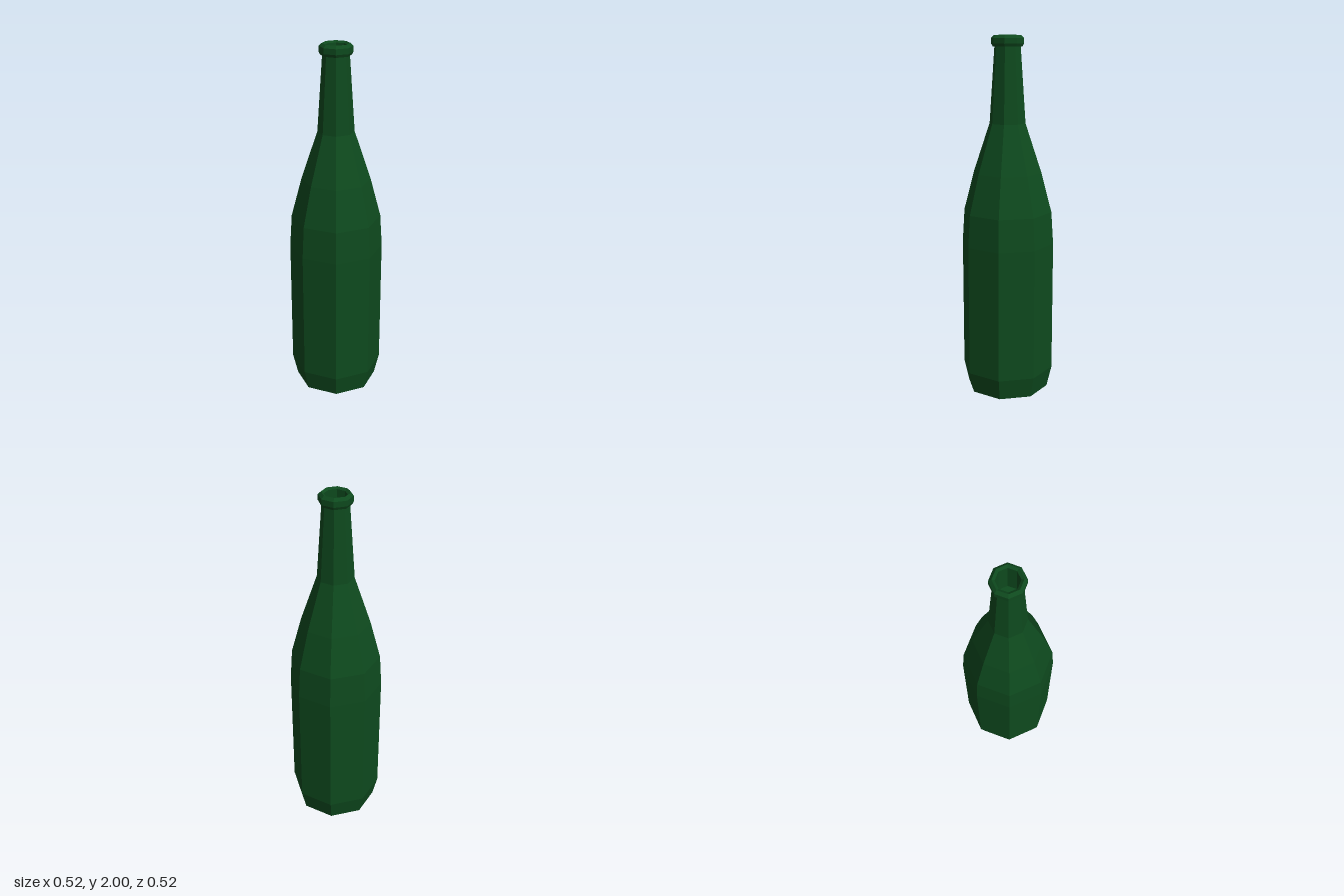
import * as THREE from 'three';

const SIDES = 8;
const glass = new THREE.MeshStandardMaterial({ color: 0x0e4a1e, flatShading: true });

// Faceted solid of revolution from [radius, height] pairs
function turned(name, profile) {
  const points = profile.map(([r, y]) => new THREE.Vector2(r, y));
  const geometry = new THREE.LatheGeometry(points, SIDES).toNonIndexed();
  geometry.computeVertexNormals();
  const mesh = new THREE.Mesh(geometry, glass);
  mesh.name = name;
  return mesh;
}

export function createModel() {
  const bottle = new THREE.Group();
  bottle.name = 'bottle';

  // Hollow under the base, from its centre out to the standing rim
  bottle.add(turned('basePunt', [[0, 0.05], [0.15, 0.04], [0.19, 0], [0.232, 0]]));

  // Chamfered foot, straight body, sloping shoulder
  bottle.add(turned('body', [
    [0.232, 0], [0.26, 0.12], [0.26, 0.86], [0.248, 1.04], [0.19, 1.26], [0.1, 1.53],
  ]));

  // Tapering neck
  bottle.add(turned('neck', [[0.1, 1.53], [0.072, 1.94]]));

  // Collar around the mouth
  bottle.add(turned('lip', [
    [0.072, 1.94], [0.082, 1.94], [0.09, 1.955], [0.09, 1.985], [0.074, 2], [0.06, 1.99],
  ]));

  // Inside of the mouth and its floor
  bottle.add(turned('mouthInside', [[0.06, 1.99], [0.06, 1.8], [0, 1.8]]));

  return bottle;
}
